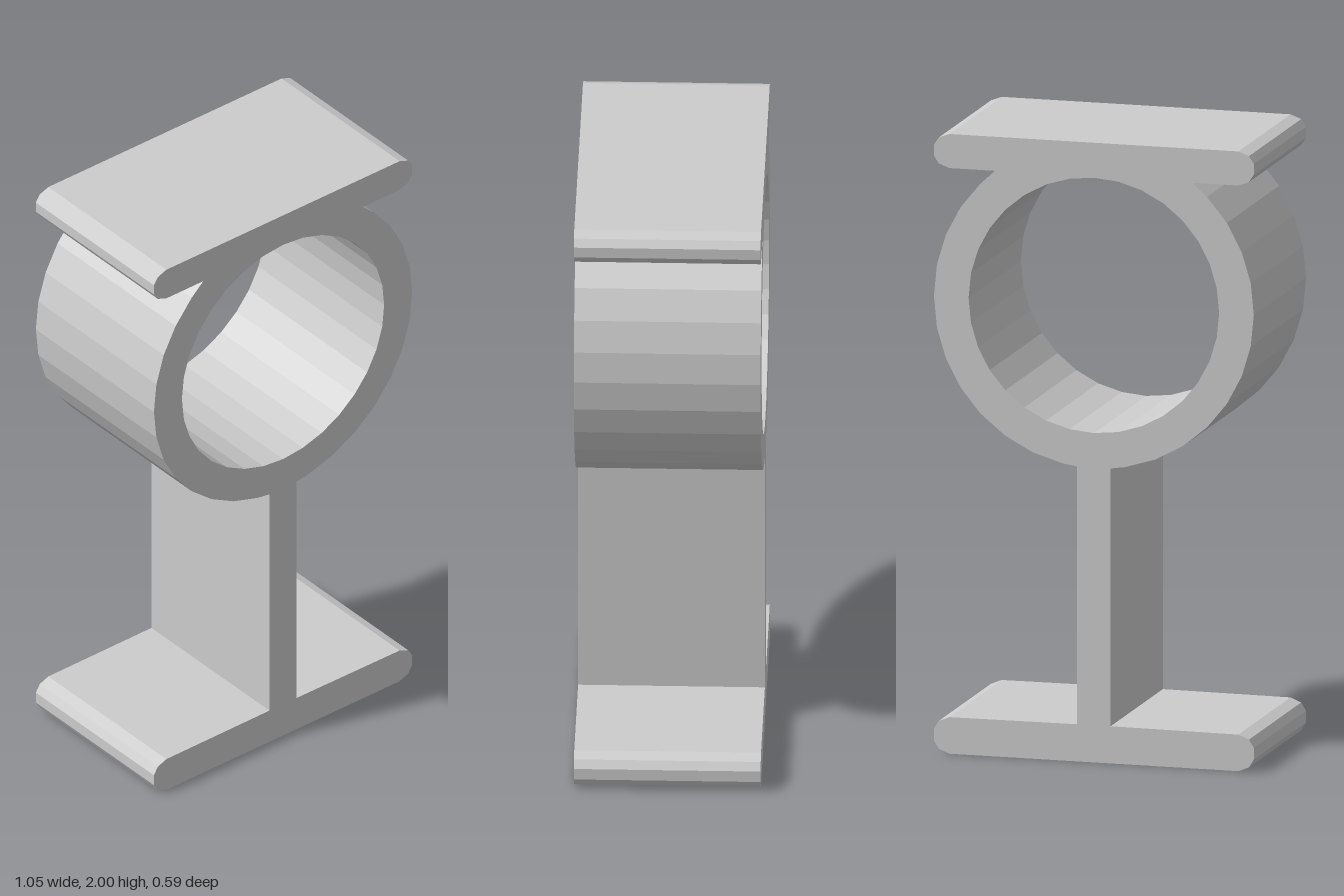
import * as THREE from 'three';

const DEPTH = 0.59;
const RING_Y = 1.475, OUTER = 0.526, INNER = 0.412, SIDES = 32;

const ringPoint = (radius, i) => {
  const a = (i / SIDES) * Math.PI * 2;
  return new THREE.Vector2(Math.cos(a) * radius, RING_Y + Math.sin(a) * radius);
};

// Rounded end of a flange on the +x side, from bottom to top
const flangeEnd = (bottom, top) => [
  [0.475, 0], [0.51, 0.12], [0.526, 0.34], [0.526, 0.66], [0.51, 0.88], [0.475, 1],
].map(([x, t]) => new THREE.Vector2(x, bottom + t * (top - bottom)));

export function createModel() {
  const model = new THREE.Group();
  model.name = 'ringStand';
  const grey = new THREE.MeshStandardMaterial({ color: 0xcccccc });
  grey.name = 'light grey';

  // Right half of the profile: base flange, web, ring, top flange
  const half = [
    ...flangeEnd(0, 0.118),
    new THREE.Vector2(0.055, 0.12),
    new THREE.Vector2(0.055, 0.952),
  ];
  for (let i = -7; i <= 4; i++) half.push(ringPoint(OUTER, i));
  half.push(new THREE.Vector2(0.325, 1.89), ...flangeEnd(1.89, 2));

  // Mirror to the left and cut the round opening
  const mirrored = half.map((p) => new THREE.Vector2(-p.x, p.y)).reverse();
  const profile = new THREE.Shape([...half, ...mirrored]);
  const opening = [];
  for (let i = 0; i < SIDES; i++) opening.push(ringPoint(INNER, -i));
  profile.holes.push(new THREE.Path(opening));

  // One extrusion through the full depth
  const geometry = new THREE.ExtrudeGeometry(profile, { depth: DEPTH, bevelEnabled: false });
  geometry.translate(0, 0, -DEPTH / 2);
  const body = new THREE.Mesh(geometry, grey);
  body.name = 'flangedRingBody';
  model.add(body);
  return model;
}
